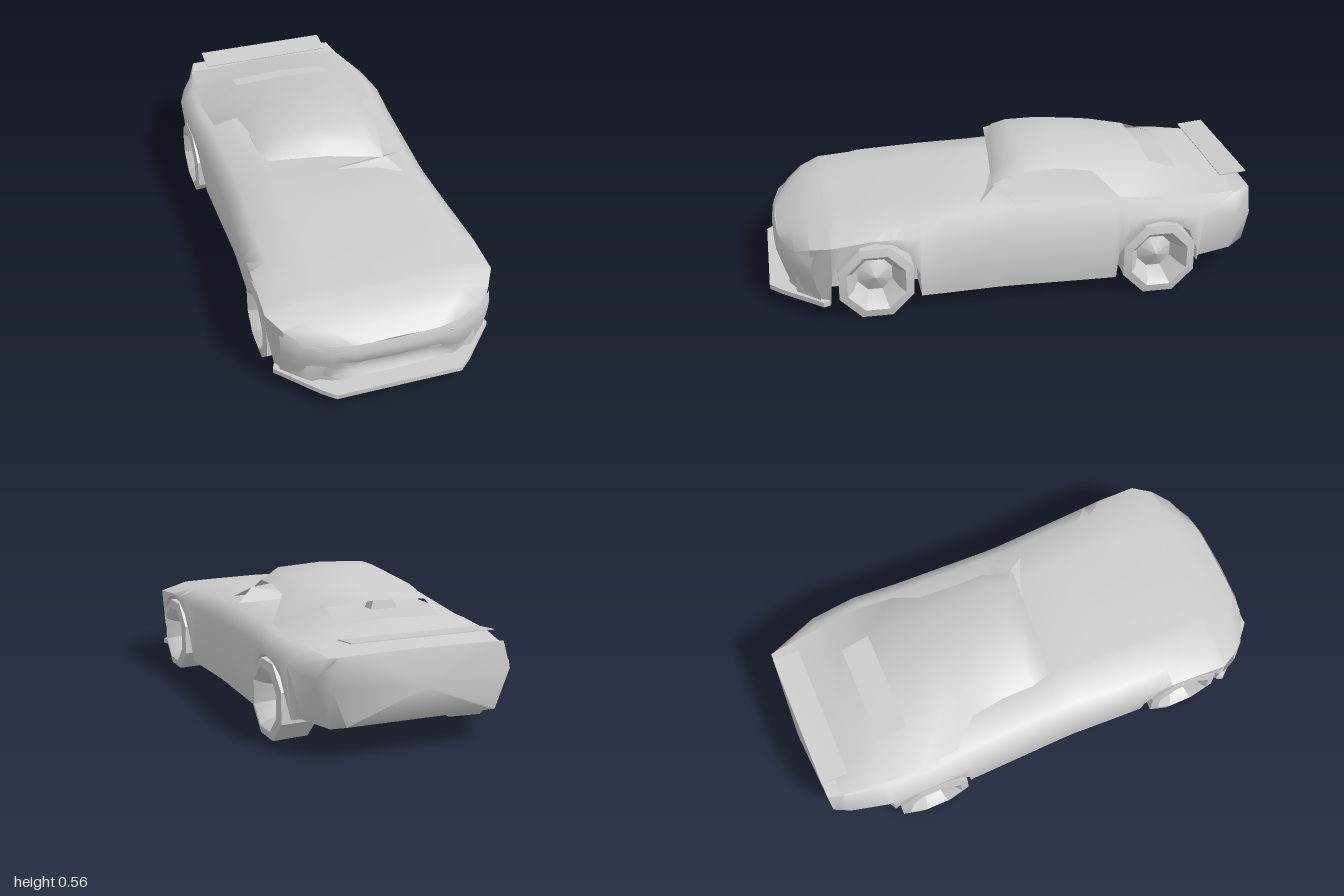
import * as THREE from 'three';
import { toCreasedNormals } from 'three/addons/utils/BufferGeometryUtils.js';

const material = new THREE.MeshStandardMaterial({ color: 0xcccccc, side: THREE.DoubleSide });

function addMesh(parent, name, geometry, crease = 0.8) {
  const mesh = new THREE.Mesh(toCreasedNormals(geometry, crease), material);
  mesh.name = name;
  parent.add(mesh);
  return mesh;
}

// Skin rows of points (front to back, each running left to right on top);
// optional end points close the ends of a ring.
function skin(rows, { closed = false, ends = null, skip = () => false } = {}) {
  const n = rows[0].length;
  const points = rows.flat();
  const index = [];
  const spans = closed ? n : n - 1;
  for (let i = 0; i < rows.length - 1; i++) {
    for (let j = 0; j < spans; j++) {
      if (skip(i, j)) continue;
      const a = i * n + j, b = i * n + (j + 1) % n;
      index.push(a, b, a + n, b, b + n, a + n);
    }
  }
  if (ends) {
    const front = points.length, back = front + 1, last = (rows.length - 1) * n;
    points.push(...ends);
    for (let j = 0; j < n; j++) {
      const k = (j + 1) % n;
      index.push(front, k, j, back, last + j, last + k);
    }
  }
  const geometry = new THREE.BufferGeometry();
  geometry.setAttribute('position', new THREE.Float32BufferAttribute(points.flat(), 3));
  geometry.setIndex(index);
  geometry.computeVertexNormals();
  return geometry;
}

const wheels = [
  { name: 'front', z: 0.58, y: 0.16, arch: 0.175 },
  { name: 'rear', z: -0.57, y: 0.155, arch: 0.165 },
];

// Body stations: z, top y, shoulder half width, shoulder y, side half width, side y, floor y
const stations = [
  [0.95, 0.28, 0.16, 0.27, 0.23, 0.25, 0.08],
  [0.89, 0.32, 0.24, 0.315, 0.35, 0.28, 0.07],
  [0.83, 0.35, 0.30, 0.34, 0.41, 0.31, 0.07],
  [0.75, 0.37, 0.34, 0.363, 0.455, 0.33, 0.07],
  [0.58, 0.388, 0.38, 0.38, 0.45, 0.345, 0.07],
  [0.30, 0.408, 0.385, 0.39, 0.44, 0.335, 0.07],
  [0.09, 0.42, 0.37, 0.40, 0.43, 0.335, 0.07],
  [0.03, 0.405, 0.37, 0.403, 0.43, 0.335, 0.07],
  [-0.38, 0.40, 0.38, 0.403, 0.44, 0.345, 0.07],
  [-0.57, 0.40, 0.395, 0.395, 0.45, 0.35, 0.09],
  [-0.76, 0.395, 0.38, 0.39, 0.44, 0.33, 0.12],
  [-0.91, 0.385, 0.35, 0.38, 0.395, 0.30, 0.12],
  [-0.975, 0.40, 0.33, 0.395, 0.36, 0.29, 0.14],
];

function sampleStation(z) {
  let i = 0;
  while (i < stations.length - 2 && stations[i + 1][0] > z) i++;
  const a = stations[i], b = stations[i + 1];
  const t = (z - a[0]) / (b[0] - a[0]);
  return a.map((v, k) => v + (b[k] - v) * t);
}

function bodyRing(z) {
  const [, top, ws, ys, wm, ym, floor] = sampleStation(z);
  let low = floor;
  for (const w of wheels) {
    const d = Math.abs(z - w.z);
    if (d < w.arch) low = Math.max(low, 0.16 + Math.sqrt(w.arch ** 2 - d ** 2));
  }
  const nose = z > 0.94 ? 0.06 : 0;
  const tuck = z < -0.74 ? 0.06 : 0.025;
  const sill = low > floor ? wm - tuck * Math.max(0, (ym - low) / ym) : wm - tuck;
  const inner = Math.min(0.28, wm - 0.07);
  const side = [
    [ws * 0.6, top - 0.003, z], [ws, ys, z], [wm, ym, z],
    [sill, low, z - nose], [inner, low, z - nose], [inner, floor, z - nose],
  ];
  const mirrored = side.map(([x, y, zz]) => [-x, y, zz]).reverse();
  return [[0, top, z], ...side, [0, floor, z - nose], ...mirrored];
}

function bodyGeometry() {
  // Extra stations around every wheel opening
  const zs = stations.map((s) => s[0]);
  for (const w of wheels) {
    for (const f of [-1.03, -0.995, -0.75, -0.4, 0.4, 0.75, 0.995, 1.03]) zs.push(w.z + f * w.arch);
  }
  const rows = zs.sort((a, b) => b - a).map(bodyRing);
  return skin(rows, { closed: true, ends: [[0, 0.15, 0.89], [0, 0.26, -1.0]] });
}

// Curved nose panel with a shallow intake: rows of y, set-back, intake depth, top drop at the ends
function bumperGeometry() {
  const levels = [
    [0.075, 0.03, 0], [0.11, 0.03, 0.03], [0.155, 0.015, 0.045], [0.20, 0.005, 0],
    [0.245, 0, 0], [0.28, 0.012, 0],
  ];
  const plan = [[0, 0.968], [0.16, 0.963], [0.25, 0.945], [0.36, 0.89], [0.42, 0.83]];
  const rows = levels.map(([y, back, intake]) => {
    const half = plan.map(([x, z], i) => [x * (y < 0.1 ? 0.98 : 1), y, z - back - (i < 2 ? intake : 0)]);
    return [...half.slice(1).map(([x, yy, z]) => [-x, yy, z]).reverse(), ...half];
  });
  return skin(rows);
}

// Roof sections: z, crown y, crown half width, rail y, rail half width, sideways tilt
function roofGeometry() {
  const sections = [
    [0.06, 0.49, 0.17, 0.475, 0.245, 0.1],
    [0.02, 0.535, 0.19, 0.49, 0.25, 0.06],
    [-0.05, 0.563, 0.19, 0.505, 0.265, 0],
    [-0.18, 0.568, 0.18, 0.51, 0.265, 0],
    [-0.32, 0.555, 0.18, 0.495, 0.28, 0],
    [-0.42, 0.535, 0.20, 0.405, 0.36, 0],
    [-0.58, 0.498, 0.21, 0.40, 0.375, 0],
    [-0.70, 0.455, 0.21, 0.393, 0.37, 0],
    [-0.80, 0.425, 0.24, 0.388, 0.36, 0],
    [-0.93, 0.39, 0.27, 0.382, 0.34, 0],
  ];
  const rows = sections.map(([z, y, w, ry, rw, tilt]) => [
    [-rw, ry, z], [-w, y - 0.01, z], [0, y, z], [w, y - 0.01, z], [rw, ry, z],
  ].map(([px, py, pz]) => [px, py - px * tilt, pz + px * tilt]));
  // The rear window is left open
  return skin(rows, { skip: (i, j) => i === 6 && (j === 1 || j === 2) });
}

function splitterGeometry() {
  const half = [[0.25, 0.995], [0.30, 0.95], [0.44, 0.79], [0.43, 0.765]];
  const outline = [...half, ...half.map(([x, z]) => [-x, z]).reverse()];
  const shape = new THREE.Shape(outline.map(([x, z]) => new THREE.Vector2(x, -z)));
  const geometry = new THREE.ExtrudeGeometry(shape, { depth: 0.02, bevelEnabled: false });
  return geometry.rotateX(-Math.PI / 2).translate(0, 0.07, 0);
}

function wheelGeometry() {
  const profile = [
    [0, -0.05], [0.09, -0.075], [0.155, -0.072], [0.16, 0.07],
    [0.125, 0.078], [0.10, 0.05], [0.075, -0.01], [0, 0.03],
  ].map(([r, y]) => new THREE.Vector2(r, y));
  return new THREE.LatheGeometry(profile, 8).rotateY(Math.PI / 8);
}

export function createModel() {
  const car = new THREE.Group();
  car.name = 'sportsCar';

  addMesh(car, 'body', bodyGeometry(), 1.1);
  addMesh(car, 'frontBumper', bumperGeometry(), 1.1);
  addMesh(car, 'roof', roofGeometry(), 1.1);
  addMesh(car, 'frontSplitter', splitterGeometry());

  // Raised corner of the cowl below the windscreen opening
  addMesh(car, 'cowlCorner', skin([
    [[0.12, 0.40, 0.16], [0.33, 0.39, 0.17]],
    [[0.05, 0.415, 0.06], [0.26, 0.45, 0.08]],
    [[0.06, 0.40, 0.03], [0.35, 0.40, 0.0]],
  ]));

  // Thin tail wing
  const wing = addMesh(car, 'rearWing', new THREE.BoxGeometry(0.57, 0.004, 0.11));
  wing.position.set(0, 0.437, -0.92);
  wing.rotation.x = 0.1;

  // Wheels on both sides
  for (const side of [1, -1]) {
    for (const w of wheels) {
      const wheel = addMesh(car, `${w.name}${side > 0 ? 'Left' : 'Right'}Wheel`, wheelGeometry(), 0.5);
      wheel.rotation.z = -side * Math.PI / 2;
      wheel.position.set(side * 0.375, w.y, w.z);
    }
  }

  // Seat top
  const seat = addMesh(car, 'seat',
    new THREE.CylinderGeometry(0.055, 0.085, 0.06, 4).rotateY(Math.PI / 4).scale(1, 1, 0.5));
  seat.position.set(-0.17, 0.425, -0.28);
  return car;
}
